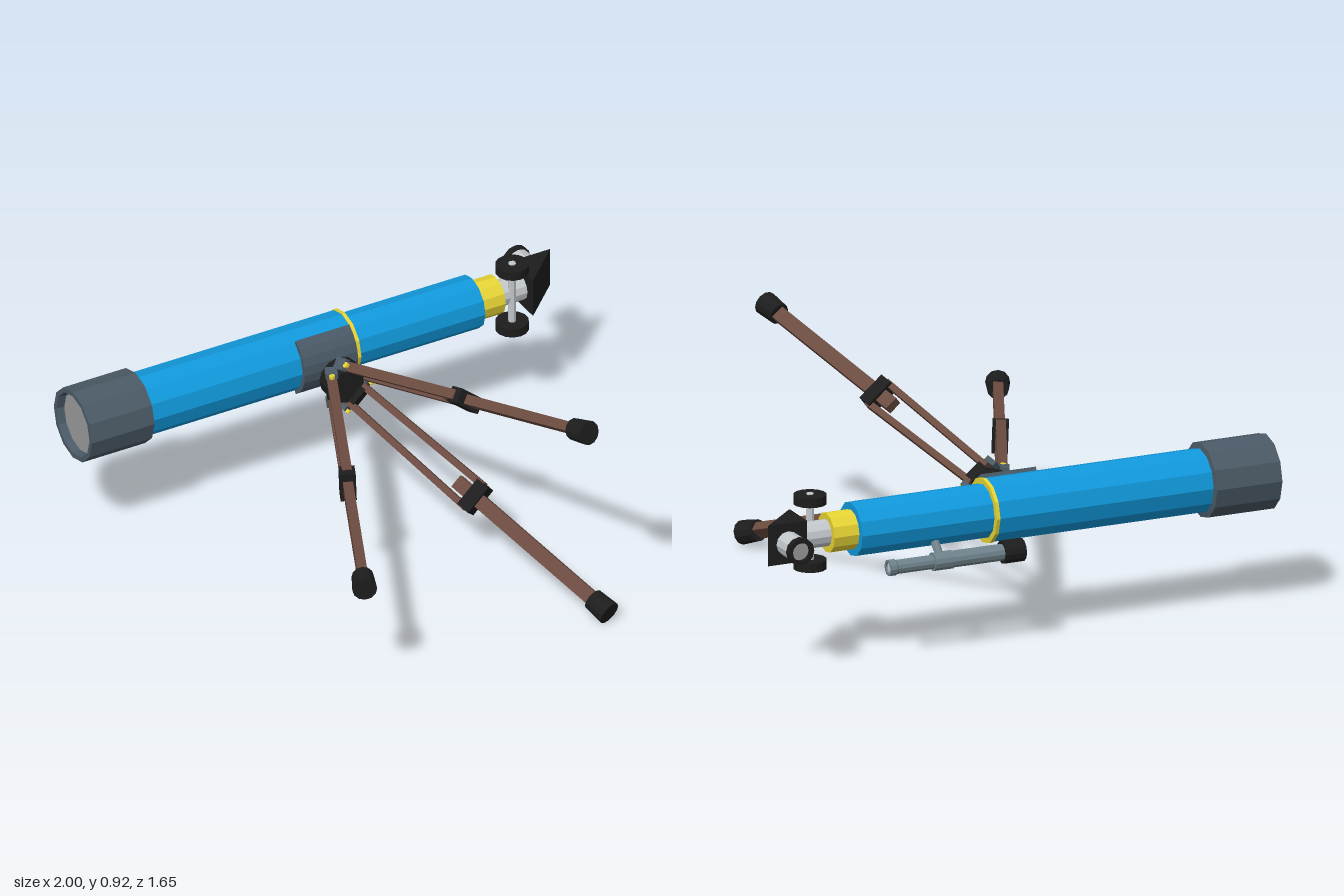
import * as THREE from 'three';

const mat = (color) => new THREE.MeshStandardMaterial({ color, flatShading: true, side: THREE.DoubleSide });
const M = {
  blue: mat(0x1199dd), slate: mat(0x4a5a66), yellow: mat(0xe8d535), wood: mat(0x6b4b40),
  black: mat(0x1d1d1d), silver: mat(0xc4c9cc), steel: mat(0x6f838c), glass: mat(0x9a9a9a),
};
const AXIS_Y = 0.495, AXIS_Z = -0.65;

function add(parent, name, geometry, material, x = 0, y = 0, z = 0) {
  const mesh = new THREE.Mesh(geometry, material);
  mesh.name = name;
  mesh.position.set(x, y, z);
  parent.add(mesh);
  return mesh;
}

// Cylinder running along x from x0 to x1 (radius r0 to r1)
function barX(parent, name, material, x0, x1, r0, r1 = r0, sides = 12) {
  const g = new THREE.CylinderGeometry(r1, r0, x1 - x0, sides).rotateZ(-Math.PI / 2);
  return add(parent, name, g, material, (x0 + x1) / 2);
}

// Hollow turned part along x; profile is [radius, x]
function turnedX(parent, name, material, profile, sides = 12) {
  const pts = profile.map(([r, x]) => new THREE.Vector2(r, x));
  return add(parent, name, new THREE.LatheGeometry(pts, sides).rotateZ(-Math.PI / 2), material);
}

function buildTube() {
  const g = new THREE.Group();
  g.name = 'opticalTube';
  g.position.set(0, AXIS_Y, AXIS_Z);
  turnedX(g, 'dewShield', M.slate,
    [[0.115, -0.96], [0.122, -1], [0.14, -1], [0.14, -0.742], [0.115, -0.738]]);
  barX(g, 'objectiveLens', M.glass, -0.97, -0.955, 0.12);
  barX(g, 'mainTube', M.blue, -0.745, 0.108, 0.118);
  barX(g, 'trimRing', M.yellow, 0.106, 0.12, 0.121);
  barX(g, 'rearTube', M.blue, 0.12, 0.642, 0.1);
  barX(g, 'focuserSleeve', M.yellow, 0.64, 0.74, 0.074);
  barX(g, 'drawTube', M.silver, 0.74, 0.85, 0.05);

  // Focus axle with a knob at each end
  const axle = new THREE.Group();
  axle.name = 'focusAxle';
  axle.position.set(0.785, 0, 0.04);
  g.add(axle);
  add(axle, 'axleRod', new THREE.CylinderGeometry(0.015, 0.015, 0.27, 8), M.silver);
  for (const s of [1, -1]) {
    add(axle, 'focusKnob', new THREE.CylinderGeometry(0.061, 0.061, 0.034, 14), M.black, 0, s * 0.122);
    add(axle, 'knobCentre', new THREE.CylinderGeometry(0.014, 0.014, 0.006, 8), M.silver, 0, s * 0.14);
  }

  // Triangular mirror housing and eyepiece
  const tri = new THREE.Shape([[0.843, 0.06], [0.843, -0.09], [0.998, 0.06]].map(p => new THREE.Vector2(...p)));
  const prism = new THREE.ExtrudeGeometry(tri, { depth: 0.152, bevelEnabled: false }).rotateX(-Math.PI / 2);
  add(g, 'diagonalHousing', prism, M.black, 0, -0.076, 0);
  const eyepiece = new THREE.Group();
  eyepiece.name = 'eyepiece';
  eyepiece.position.set(0.918, 0, 0);
  eyepiece.rotation.y = Math.PI / 2;
  g.add(eyepiece);
  barX(eyepiece, 'eyepieceBarrel', M.silver, 0.058, 0.152, 0.046);
  turnedX(eyepiece, 'eyecup', M.black, [[0.046, 0.15], [0.051, 0.152], [0.051, 0.175], [0.034, 0.175], [0.034, 0.15]]);
  barX(eyepiece, 'eyeLens', M.glass, 0.15, 0.162, 0.035);

  // Curved saddle plate hugging the tube on the tripod side
  const a = Math.PI / 3, saddle = new THREE.Shape();
  saddle.absarc(0, 0, 0.132, -a, a, false);
  saddle.absarc(0, 0, 0.114, a, -a, true);
  const sg = new THREE.ExtrudeGeometry(saddle, { depth: 0.22, bevelEnabled: false, curveSegments: 4 });
  add(g, 'saddle', sg.rotateY(-Math.PI / 2), M.slate, 0.1);
  return g;
}

function buildFinder() {
  const g = new THREE.Group();
  g.name = 'finderScope';
  g.position.set(0, 0.37, -0.769);
  turnedX(g, 'finderHood', M.black, [[0.03, 0.035], [0.032, 0.02], [0.043, 0.02], [0.043, 0.1], [0.028, 0.1]]);
  barX(g, 'finderLens', M.glass, 0.03, 0.04, 0.034);
  barX(g, 'finderBody', M.steel, 0.09, 0.3, 0.031);
  barX(g, 'finderCollar', M.steel, 0.3, 0.375, 0.034);
  barX(g, 'finderRear', M.steel, 0.375, 0.535, 0.026);
  turnedX(g, 'finderEyeRing', M.steel, [[0.026, 0.52], [0.03, 0.525], [0.03, 0.55], [0.02, 0.55], [0.02, 0.53]]);
  barX(g, 'finderEyeLens', M.silver, 0.53, 0.543, 0.021);
  // Post reaching up to the rear tube
  const post = add(g, 'finderPost', new THREE.CylinderGeometry(0.016, 0.016, 0.1, 8), M.steel, 0.34, 0.038, 0.035);
  post.rotation.x = Math.PI / 4;
  return g;
}

function buildHead() {
  const g = new THREE.Group();
  g.name = 'tripodHead';
  g.position.set(-0.012, AXIS_Y, 0);
  const disc = (name, m, z0, z1, r0, r1, sides) => add(g, name,
    new THREE.CylinderGeometry(r1, r0, z1 - z0, sides).rotateX(Math.PI / 2), m, 0, 0, (z0 + z1) / 2);
  disc('neck', M.silver, -0.54, -0.47, 0.018, 0.03, 10);
  add(g, 'ball', new THREE.SphereGeometry(0.036, 10, 8), M.silver, 0, 0, -0.495);
  disc('hubCap', M.black, -0.48, -0.465, 0.062, 0.078, 12);
  disc('hub', M.black, -0.465, -0.43, 0.078, 0.078, 12);
  disc('hubBase', M.black, -0.43, -0.385, 0.078, 0.07, 12);
  return g;
}

// One leg: local -y runs down the leg, x is across it
function buildLeg(top, foot) {
  const g = new THREE.Group();
  g.name = 'leg';
  const up = top.clone().sub(foot), length = up.length();
  up.normalize();
  const across = new THREE.Vector3(0, 0, 1).cross(up).normalize();
  const out = across.clone().cross(up);
  g.quaternion.setFromRotationMatrix(new THREE.Matrix4().makeBasis(across, up, out));
  g.position.copy(top);
  const collarY = -0.465 * length;
  const box = (name, m, w, h, d, x, y) => add(g, name, new THREE.BoxGeometry(w, h, d), m, x, y, 0);

  for (const s of [1, -1]) {
    const rod = box('upperRod', M.wood, 0.024, -collarY + 0.02, 0.036, s * 0.045, collarY / 2 + 0.01);
    rod.rotation.z = s * 0.018;
    const bolt = add(g, 'bolt', new THREE.CylinderGeometry(0.011, 0.011, 0.012, 8), M.yellow, s * 0.066, -0.005, 0);
    bolt.rotation.z = Math.PI / 2;
    box('bracket', M.slate, 0.02, 0.05, 0.045, s * 0.062, 0.025);
  }
  box('hinge', M.black, 0.07, 0.05, 0.04, 0, 0.012);
  box('collar', M.black, 0.115, 0.055, 0.058, 0, collarY);
  // Sliding lower section pokes out above the collar
  const lowTop = collarY + 0.09;
  box('lowerRod', M.wood, 0.052, length + lowTop - 0.03, 0.036, 0, (lowTop - length + 0.03) / 2);
  add(g, 'rubberFoot', new THREE.CylinderGeometry(0.04, 0.045, 0.085, 12), M.black, 0, -length + 0.0425, 0);
  return g;
}

export function createModel() {
  const model = new THREE.Group();
  model.name = 'telescope';
  model.add(buildTube(), buildFinder(), buildHead());
  const V = (x, y, z) => new THREE.Vector3(x, y, z);
  model.add(
    buildLeg(V(0.022, 0.548, -0.385), V(0.306, 0.88, 0.81)),
    buildLeg(V(0.027, 0.44, -0.385), V(0.414, 0.043, 0.765)),
    buildLeg(V(-0.08, 0.495, -0.385), V(-0.594, 0.474, 0.768)),
  );
  return model;
}
